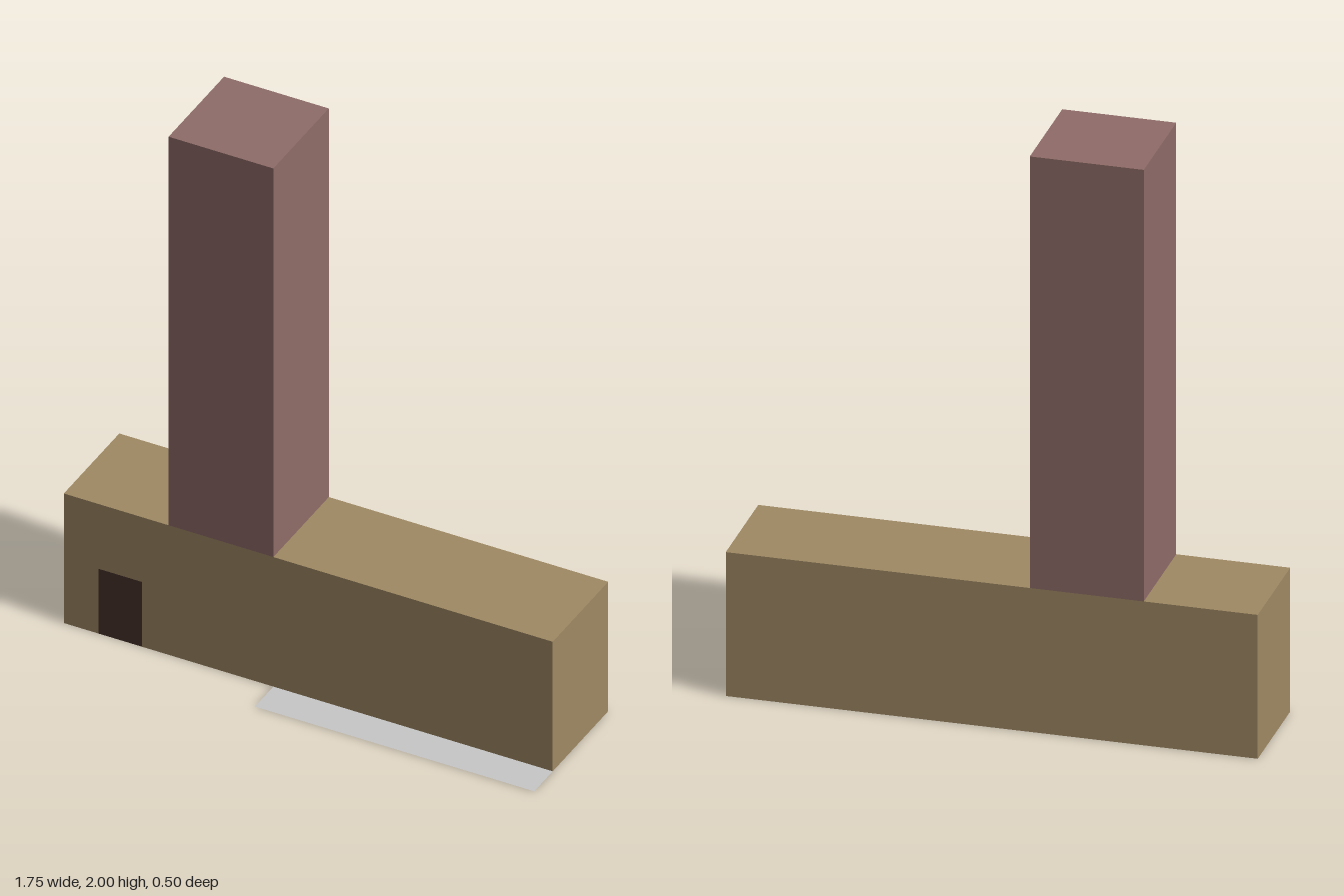
import * as THREE from 'three';

const flat = (name, color) =>
  new THREE.MeshStandardMaterial({ name, color, side: THREE.DoubleSide });

export function createModel() {
  const tan = flat('tan wall', 0xa08a64);
  const brick = flat('dusty red brick', 0x8f6c68);
  const wood = flat('dark brown wood', 0x48332b);
  const paving = flat('pale grey paving', 0xc8c8c8);

  const model = new THREE.Group();
  model.name = 'buildingWithTower';

  // Adds one rectangular face, turned about x and y and then placed
  function face(parent, name, material, w, h, position, rx = 0, ry = 0) {
    const mesh = new THREE.Mesh(new THREE.PlaneGeometry(w, h), material);
    mesh.name = name;
    mesh.rotation.set(rx, ry, 0);
    mesh.position.set(...position);
    parent.add(mesh);
    return mesh;
  }

  // Thin-walled block without front or bottom: back, two sides and roof
  function shell(name, material, x0, x1, y0, y1) {
    const group = new THREE.Group();
    group.name = name;
    const w = x1 - x0, h = y1 - y0, d = back - front;
    const cx = (x0 + x1) / 2, cy = (y0 + y1) / 2, cz = (front + back) / 2;
    face(group, name + 'Back', material, w, h, [cx, cy, back], 0, Math.PI);
    face(group, name + 'LeftSide', material, -d, h, [x1, cy, cz], 0, Math.PI / 2);
    face(group, name + 'RightSide', material, -d, h, [x0, cy, cz], 0, -Math.PI / 2);
    face(group, name + 'Roof', material, w, -d, [cx, y1, cz], -Math.PI / 2);
    model.add(group);
    return group;
  }

  const front = 0.125, back = -0.25;

  // Long low hall, open underneath
  const hall = shell('hall', tan, -0.875, 0.875, 0, 0.5);

  // Front wall with a doorway notch
  const wall = new THREE.Shape([
    [-0.875, 0], [-0.75, 0], [-0.75, 0.25], [-0.595, 0.25], [-0.595, 0],
    [0.875, 0], [0.875, 0.5], [-0.875, 0.5],
  ].map(([x, y]) => new THREE.Vector2(x, y)));
  const hallFront = new THREE.Mesh(new THREE.ShapeGeometry(wall), tan);
  hallFront.name = 'hallFront';
  hallFront.position.z = front;
  hall.add(hallFront);

  // Door, flush with the wall
  face(hall, 'door', wood, 0.155, 0.25, [-0.6725, 0.125, front]);

  // Tall square tower
  const tower = shell('tower', brick, -0.5, -0.125, 0.5, 2);
  face(tower, 'towerFront', brick, 0.375, 1.5, [-0.3125, 1.25, front]);

  // Flat paving strip along the front
  face(model, 'pavingStrip', paving, 1, 0.125, [0.375, 0, 0.1875], -Math.PI / 2);

  return model;
}
